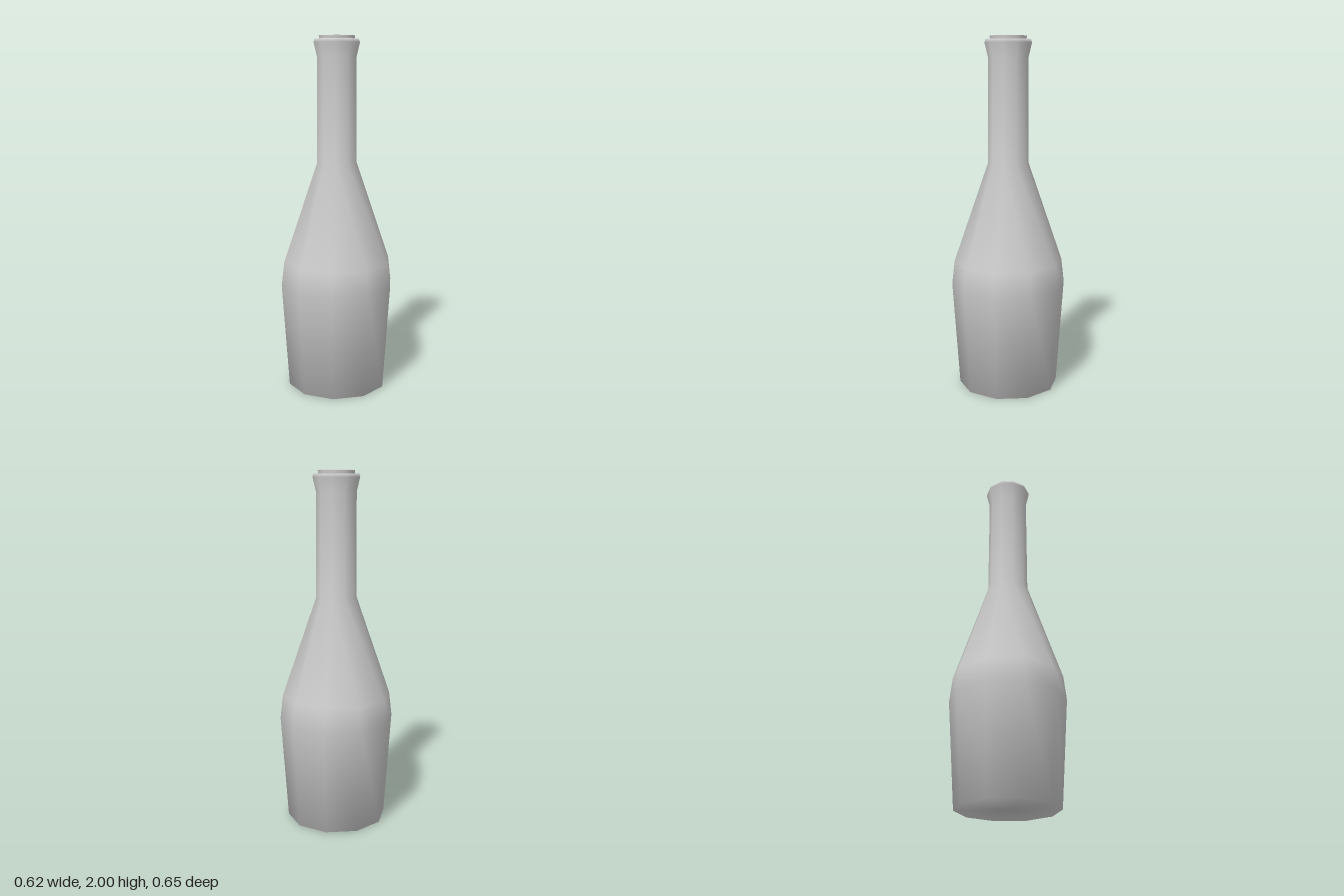
import * as THREE from 'three';

const SIDES = 10;

// Ten-sided turned part from [radius, height] pairs, listed bottom to top
function turned(name, profile, material) {
  const points = profile.map(([r, y]) => new THREE.Vector2(r, y));
  const mesh = new THREE.Mesh(new THREE.LatheGeometry(points, SIDES), material);
  mesh.name = name;
  return mesh;
}

export function createModel() {
  const group = new THREE.Group();
  group.name = 'bottle';
  const grey = new THREE.MeshStandardMaterial({ color: 0xcccccc });

  // Glass: base, body, shoulder, neck and flared lip in one smooth skin
  group.add(turned('glass', [
    [0, 0],
    [0.285, 0],
    [0.325, 0.6],
    [0.309, 0.737],
    [0.115, 1.3],
    [0.112, 1.883],
    [0.131, 1.963],
    [0.125, 1.982],
    [0.095, 1.975],
  ], grey));

  // Stopper: crisp flat-topped plug standing just proud of the lip
  const stopper = new THREE.Mesh(new THREE.CylinderGeometry(0.102, 0.098, 0.06, SIDES), grey);
  stopper.name = 'stopper';
  stopper.position.y = 1.97;
  group.add(stopper);

  return group;
}
